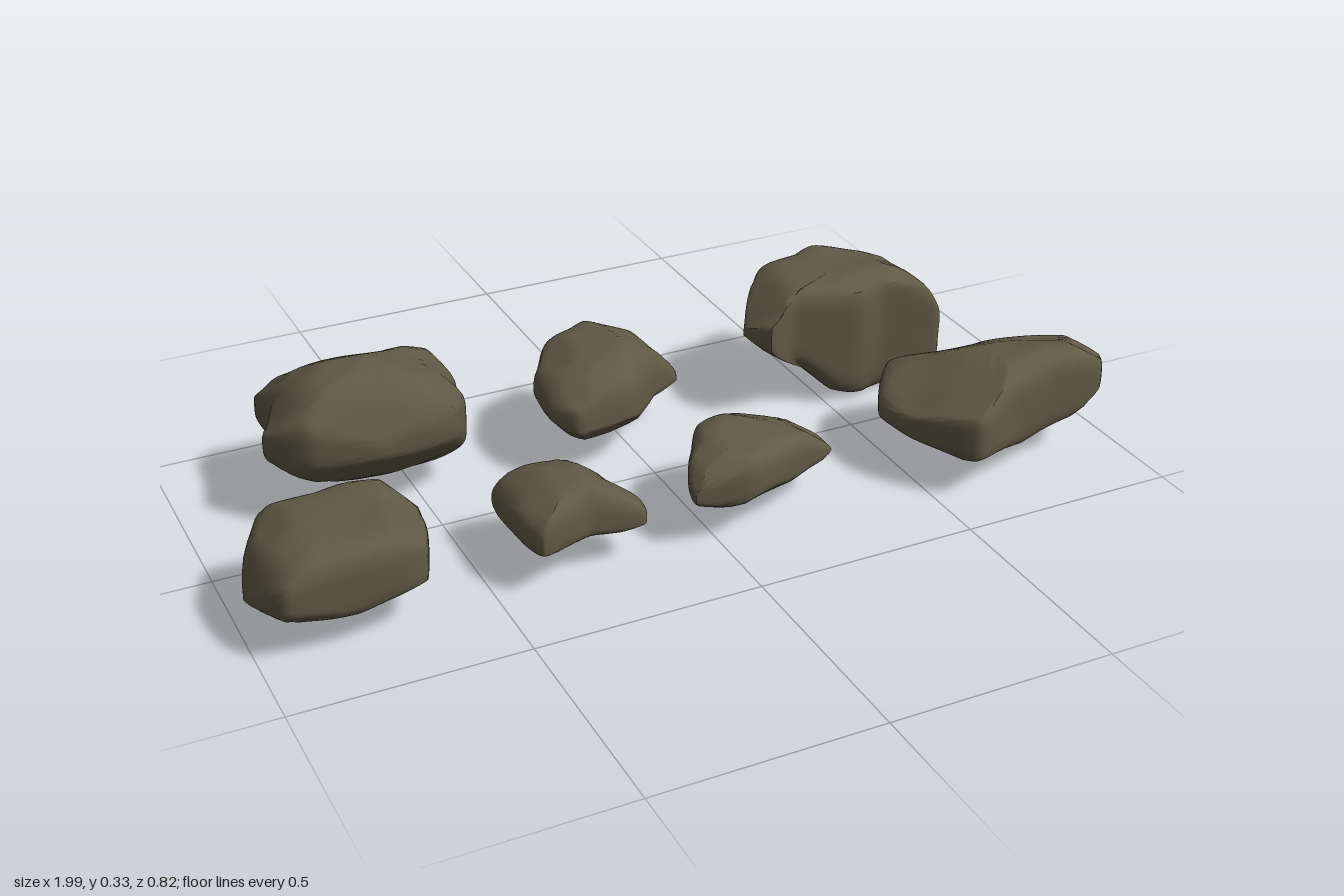
import * as THREE from 'three';
import { toCreasedNormals } from 'three/addons/utils/BufferGeometryUtils.js';

const RINGS = 32;

function seeded(seed) {
  return () => ((seed = (seed * 16807) % 2147483647) / 2147483647);
}

// bottom and top heights at v, from rows of [v, bottom, top]
function heights(profile, v) {
  if (v <= profile[0][0]) return profile[0].slice(1);
  for (let i = 1; i < profile.length; i++) {
    const a = profile[i - 1], b = profile[i];
    if (v <= b[0]) {
      const t = (v - a[0]) / (b[0] - a[0]);
      return [a[1] + (b[1] - a[1]) * t, a[2] + (b[2] - a[2]) * t];
    }
  }
  return profile[profile.length - 1].slice(1);
}

// A boulder from a plan outline [x, z], height profiles along x and z, then chipped.
// power: 1 is round, smaller is blockier; waist: how high up its widest level lies
function boulder({ seed, power, waist, outline, alongX, alongZ }) {
  const rnd = seeded(seed * 7919 + 13);
  for (let i = 0; i < 8; i++) rnd();
  const around = outline.length * 7;
  const corners = outline.map(([x, z]) => new THREE.Vector3(x, 0, z));
  const rim = new THREE.CatmullRomCurve3(corners, true, 'catmullrom', 0.25).getPoints(around).slice(0, around);
  const cx = outline.reduce((s, p) => s + p[0], 0) / outline.length;
  const cz = outline.reduce((s, p) => s + p[1], 0) / outline.length;

  const span = (x, z) => {
    const [lo, hi] = heights(alongX, x);
    if (!alongZ) return [lo, hi];
    const [lo2, hi2] = heights(alongZ, z);
    return [Math.max(lo, lo2), Math.min(hi, hi2)];
  };
  const pts = [];
  const put = (i, phi) => {
    const r = Math.pow(Math.max(0, Math.cos(phi)), power);
    const x = cx + (rim[i].x - cx) * r, z = cz + (rim[i].z - cz) * r;
    const [lo, hi] = span(x, z);
    const mid = lo + (hi - lo) * waist;
    const h = Math.pow(Math.abs(Math.sin(phi)), power);
    pts.push(new THREE.Vector3(x, phi > 0 ? mid + h * (hi - mid) : mid - h * (mid - lo), z));
  };
  put(0, -Math.PI / 2);
  for (let j = 1; j < RINGS; j++) {
    const u = (2 * j) / RINGS - 1, m = Math.abs(u);
    const phi = Math.sign(u) * (Math.PI / 2) * m * m * (3 - 2 * m);
    for (let i = 0; i < around; i++) put(i, phi);
  }
  put(0, Math.PI / 2);

  // slanting chips that leave flat facets with worn edges
  const [low, high] = span(cx, cz);
  const mid = new THREE.Vector3(cx, (low + high) / 2, cz);
  for (let k = 0; k < 16; k++) {
    const a = rnd() * Math.PI * 2, e = (0.6 + rnd() * 0.6) * (k % 2 ? 1 : -1);
    const dir = new THREE.Vector3(Math.cos(a) * Math.cos(e), Math.sin(e) * 1.2, Math.sin(a) * Math.cos(e)).normalize();
    let far = 0;
    for (const p of pts) far = Math.max(far, p.clone().sub(mid).dot(dir));
    const limit = far * (0.91 + rnd() * 0.07);
    for (const p of pts) {
      const over = p.clone().sub(mid).dot(dir) - limit;
      if (over > 0) p.addScaledVector(dir, -over);
    }
  }

  // gentle hollows and shallow ridges
  const s = rnd() * 10;
  for (const p of pts) {
    const w = Math.sin(p.x * 21 + s + p.y * 9) * Math.sin(p.z * 25 + s * 2) * 0.004;
    const ridge = Math.abs(Math.sin(p.x * 13 - p.z * 17 + p.y * 15 + s)) * 0.006 - 0.004;
    p.x += (p.x - cx) * (w + ridge) * 2;
    p.z += (p.z - cz) * (w + ridge) * 2;
    p.y = Math.max(0, p.y + w + ridge);
  }

  const index = [], last = pts.length - 1;
  const at = (j, i) => 1 + j * around + (i % around);
  for (let i = 0; i < around; i++) {
    index.push(0, at(0, i), at(0, i + 1));
    index.push(last, at(RINGS - 2, i + 1), at(RINGS - 2, i));
    for (let j = 0; j < RINGS - 2; j++) {
      index.push(at(j, i), at(j + 1, i), at(j, i + 1));
      index.push(at(j, i + 1), at(j + 1, i), at(j + 1, i + 1));
    }
  }
  const geo = new THREE.BufferGeometry().setFromPoints(pts);
  geo.setIndex(index);
  return toCreasedNormals(geo, 0.7);
}

export function createModel() {
  const group = new THREE.Group();
  const stone = new THREE.MeshStandardMaterial({ color: 0x5f5946 });
  stone.name = 'mossy brown stone';
  const add = (name, shape) => {
    const mesh = new THREE.Mesh(boulder(shape), stone);
    mesh.name = name;
    group.add(mesh);
  };

  // back row
  add('backRightBoulder', {
    seed: 1, power: 0.45, waist: 0.5,
    outline: [[-.78, -.38], [-.62, -.39], [-.57, -.375], [-.44, -.41], [-.37, -.37], [-.36, -.26], [-.4, -.2],
      [-.38, -.15], [-.43, -.07], [-.5, -.05], [-.61, -.045], [-.75, -.08], [-.825, -.17], [-.785, -.25]],
    alongX: [[-.83, .13, .24], [-.78, .1, .275], [-.7, .07, .32], [-.58, .025, .335], [-.5, .02, .3], [-.41, .03, .27], [-.36, .09, .22]],
    alongZ: [[-.41, .11, .2], [-.36, .05, .245], [-.28, .02, .295], [-.2, .035, .335], [-.13, .08, .325], [-.08, .12, .28], [-.045, .145, .23]],
  });
  add('backMiddleStone', {
    seed: 2, power: 0.57, waist: 0.33,
    outline: [[-.14, -.3], [-.02, -.36], [.03, -.33], [.125, -.33], [.15, -.2], [.08, -.16], [-.03, -.045],
      [-.17, -.02], [-.215, -.09], [-.2, -.2]],
    alongX: [[-.22, .14, .21], [-.16, .08, .245], [0, .075, .25], [.08, .075, .21], [.15, .075, .15]],
  });
  add('backLeftBoulder', {
    seed: 3, power: 0.36, waist: 0.5,
    outline: [[.31, -.18], [.41, -.31], [.5, -.345], [.58, -.365], [.69, -.29], [.73, -.23], [.8, -.13], [.78, -.09],
      [.64, -.11], [.56, -.09], [.41, -.12], [.34, -.095]],
    alongX: [[.31, .17, .23], [.36, .14, .3], [.45, .09, .305], [.52, .02, .305], [.6, 0, .305], [.7, .015, .3], [.76, .03, .26], [.81, .05, .2]],
  });

  // front row
  add('frontRightStone', {
    seed: 4, power: 0.45, waist: 0.42,
    outline: [[-.915, .08], [-.76, .08], [-.6, .1], [-.61, .22], [-.655, .34], [-.8, .36], [-.94, .355], [-.995, .23]],
    alongX: [[-1, .085, .13], [-.95, .075, .2], [-.9, .07, .225], [-.67, .065, .235], [-.6, .09, .18]],
  });
  add('frontRightPebble', {
    seed: 5, power: 0.56, waist: 0.3,
    outline: [[-.435, .125], [-.32, .12], [-.2, .15], [-.19, .215], [-.155, .25], [-.17, .31], [-.29, .31],
      [-.41, .35], [-.435, .29]],
    alongX: [[-.44, .085, .17], [-.38, .08, .2], [-.28, .08, .205], [-.22, .075, .165], [-.155, .075, .125]],
  });
  add('frontMiddlePebble', {
    seed: 6, power: 0.52, waist: 0.42,
    outline: [[.03, .13], [.14, .095], [.32, .14], [.315, .225], [.19, .285], [.06, .335], [-.06, .32], [-.045, .255]],
    alongX: [[-.06, .09, .185], [.02, .075, .205], [.12, .072, .195], [.23, .07, .17], [.33, .07, .105]],
  });
  add('frontLeftBoulder', {
    seed: 7, power: 0.38, waist: 0.45,
    outline: [[.56, .045], [.68, .045], [.8, .07], [.91, .15], [.995, .24], [.95, .31], [.8, .33], [.7, .36], [.575, .405],
      [.48, .27], [.47, .16]],
    alongX: [[.47, .1, .17], [.56, .07, .215], [.68, .055, .26], [.8, .06, .26], [.92, .075, .245], [1, .1, .22]],
    alongZ: [[.04, .125, .18], [.1, .075, .205], [.18, .06, .24], [.3, .055, .265], [.36, .065, .25], [.41, .075, .21]],
  });
  return group;
}
